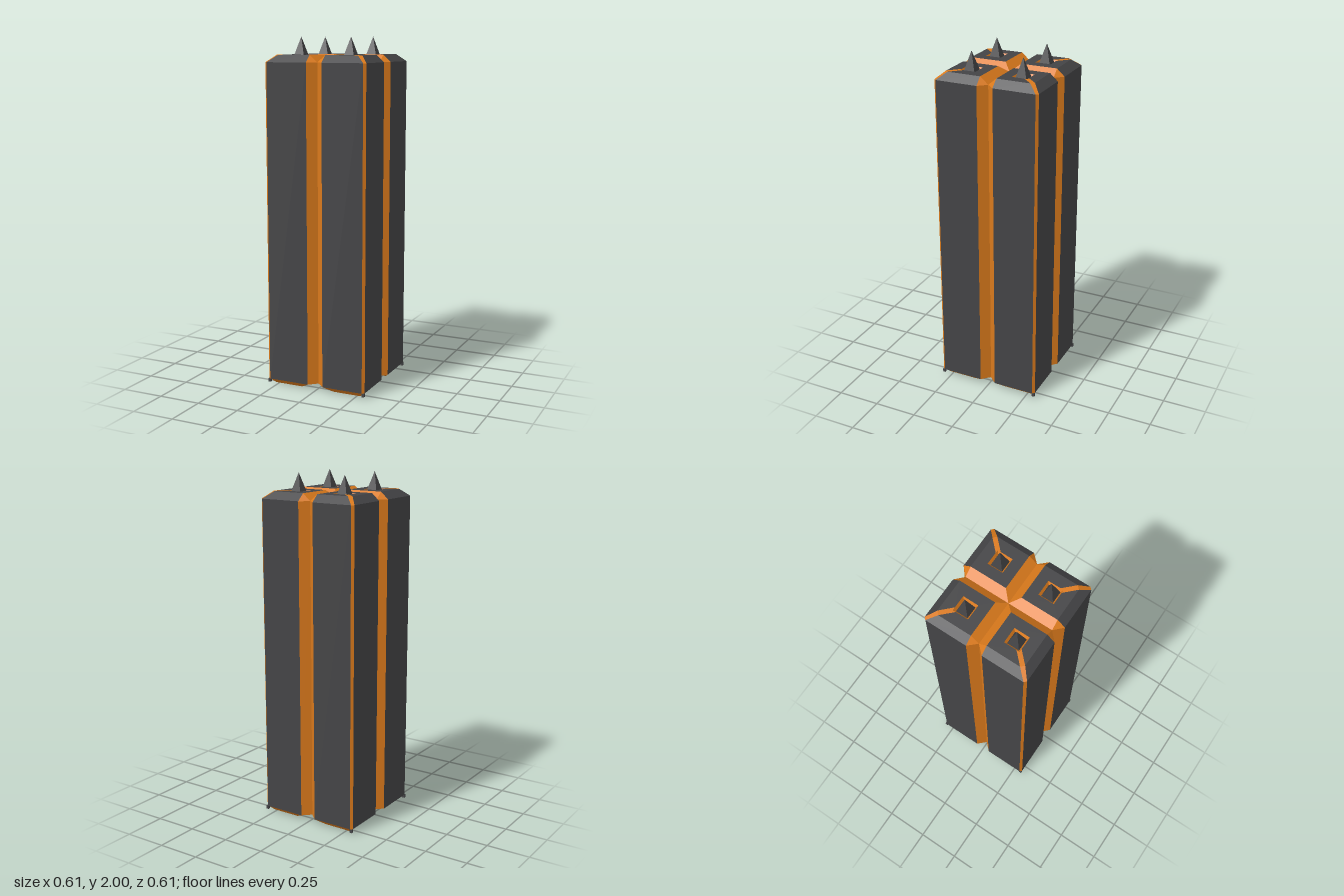
import * as THREE from 'three';

const dark = new THREE.MeshStandardMaterial({ color: 0x444446, flatShading: true });
const orange = new THREE.MeshStandardMaterial({ color: 0xdb7a1c, flatShading: true });

// Heights
const B = 0.03, S = 1.86, T = 1.9, P = 1.88;
// Plan distances: groove edge, bevel edge, outer face
const G = 0.047, V = 0.26, W = 0.305;
// Pit rim and floor, pad extents
const R0 = 0.107, R1 = 0.198, F0 = 0.118, F1 = 0.187, D0 = 0.1, D1 = 0.27;
// Corner strip: half cut on the roof and on the walls
const d = 0.018, c = 0.013;
const k = V - d / 2, m = W - c / 2;

// Builds one mesh from polygons, each also mirrored across the column's diagonal
function panels(name, material, polygons) {
  const pos = [];
  const fan = (p) => {
    for (let i = 1; i < p.length - 1; i++) pos.push(...p[0], ...p[i], ...p[i + 1]);
  };
  for (const p of polygons) {
    fan(p);
    fan(p.map(([x, y, z]) => [z, y, x]).reverse());
  }
  const g = new THREE.BufferGeometry();
  g.setAttribute('position', new THREE.Float32BufferAttribute(pos, 3));
  g.computeVertexNormals();
  const mesh = new THREE.Mesh(g, material);
  mesh.name = name;
  return mesh;
}

function createColumn() {
  const column = new THREE.Group();

  column.add(panels('wallPanels', dark, [
    [[G, B, W], [W - c, B, W], [W - c, S, W], [G, S, W]],
  ]));

  column.add(panels('roofPanels', dark, [
    [[G, S, W], [W - c, S, W], [V - d, T, V], [G, T, V]],
    [[G, T, G], [G, T, V], [R0, T, R1], [R0, T, R0]],
    [[G, T, V], [V - d, T, V], [R1 - d, T, R1], [R0, T, R1]],
  ]));

  // V-shaped channels between the columns
  column.add(panels('grooves', orange, [
    [[0, B, V], [G, B, W], [G, S, W], [0, S, V]],
    [[0, S, V], [G, S, W], [G, T, V]],
    [[0, S, 0], [0, S, V], [G, T, V], [G, T, G]],
    [[G, B, G], [G, B, W], [0, B, V], [0, B, 0]],
  ]));

  // Strip from the pit over the hip and down the vertical edge
  column.add(panels('cornerStrip', orange, [
    [[W - c, B, W], [m, B, m], [m, S, m], [W - c, S, W]],
    [[W - c, S, W], [m, S, m], [k, T, k], [V - d, T, V]],
    [[R1 - d, T, R1], [V - d, T, V], [k, T, k], [R1, T, R1]],
  ]));

  column.add(panels('spikePit', orange, [
    [[R0, T, R1], [R1, T, R1], [F1, P, F1], [F0, P, F1]],
    [[R0, T, R0], [R0, T, R1], [F0, P, F1], [F0, P, F0]],
  ]));

  // Underside pad with a tapered rim
  column.add(panels('padRim', orange, [
    [[D0, 0, D0], [D0, 0, D1], [G, B, W], [G, B, G]],
    [[D0, 0, D1], [D1, 0, D1], [m, B, m], [W - c, B, W], [G, B, W]],
  ]));
  column.add(panels('padBase', dark, [[[D1, 0, D1], [D0, 0, D1], [D0, 0, D0]]]));

  const spike = new THREE.Mesh(
    new THREE.ConeGeometry(0.035 * Math.SQRT2, 2 - P, 4).rotateY(Math.PI / 4), dark);
  spike.position.set(0.1525, (2 + P) / 2, 0.1525);
  spike.name = 'spike';
  column.add(spike);

  // Small cap at the foot of the outer edge
  const foot = new THREE.Mesh(new THREE.BoxGeometry(0.015, 0.02, 0.015), dark);
  foot.position.set(W - 0.0075, 0.02, W - 0.0075);
  foot.name = 'cornerFoot';
  column.add(foot);
  return column;
}

export function createModel() {
  const model = new THREE.Group();
  model.name = 'clusteredPillar';
  for (let i = 0; i < 4; i++) {
    const column = createColumn();
    column.name = `column${i + 1}`;
    column.rotation.y = i * Math.PI / 2;
    model.add(column);
  }
  return model;
}
